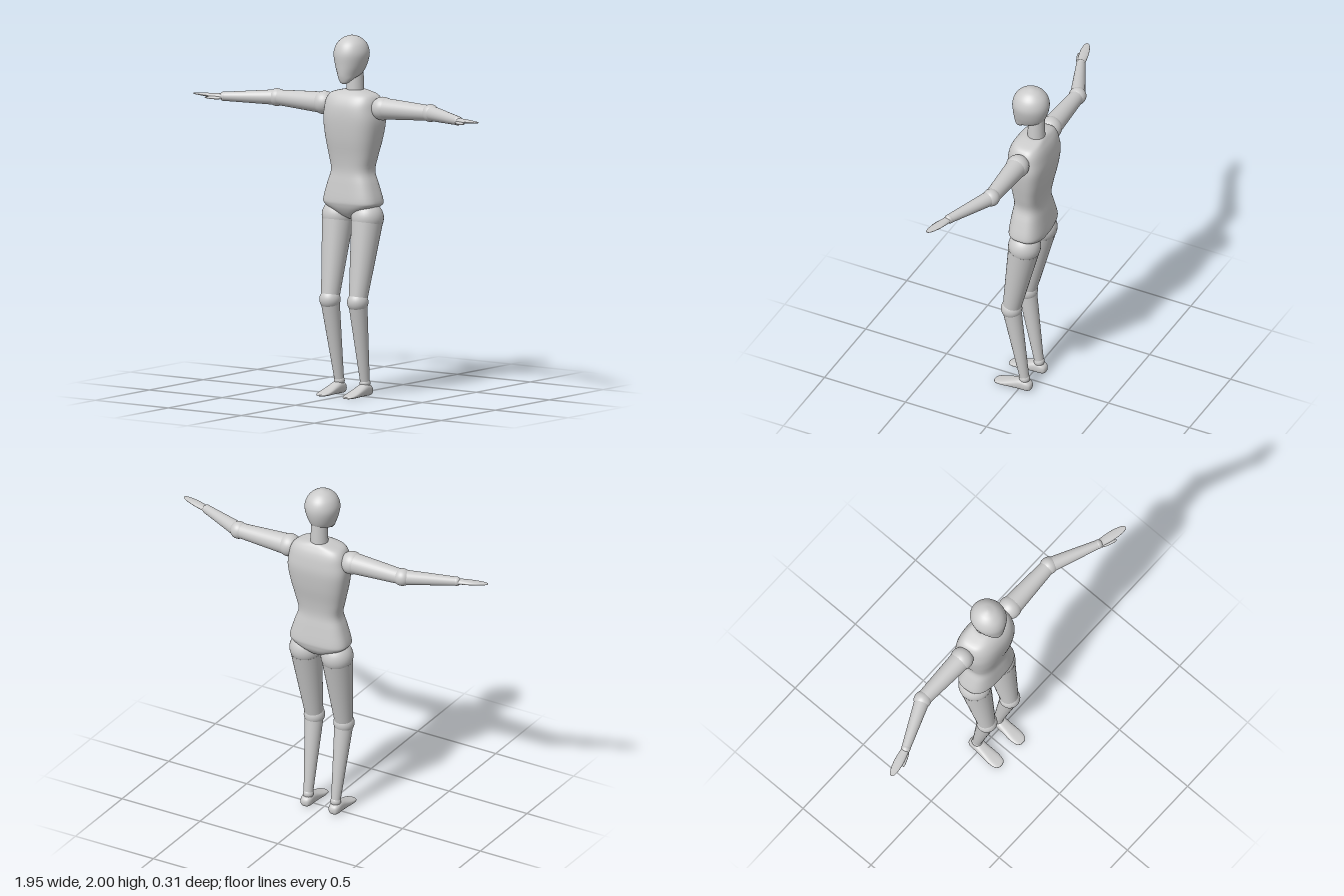
import * as THREE from 'three';

const material = new THREE.MeshStandardMaterial({ color: 0xcccccc });
const V = (x, y, z) => new THREE.Vector3(x, y, z);

function add(parent, geometry, name) {
  const mesh = new THREE.Mesh(geometry, material);
  mesh.name = name;
  parent.add(mesh);
  return mesh;
}

// Smoothly subdivides rows of numbers (Catmull-Rom).
function refine(rows, steps) {
  const out = [];
  const at = i => rows[Math.min(Math.max(i, 0), rows.length - 1)];
  for (let i = 0; i < rows.length - 1; i++) {
    for (let k = 0; k < steps; k++) {
      const t = k / steps;
      out.push(rows[i].map((b, c) => {
        const a = at(i - 1)[c], d = at(i + 1)[c], e = at(i + 2)[c];
        return b + 0.5 * t * (d - a + t * (2 * a - 5 * b + 4 * d - e + t * (3 * (b - d) + e - a)));
      }));
    }
  }
  out.push(rows[rows.length - 1]);
  return out;
}

// Closed skin over sections [t, uMin, uMax, vMin, vMax, narrowing toward +u].
// Each section is a superellipse; frame is a matrix whose axes are u, v, t.
function loft(rows, frame, power = 2, sides = 40) {
  const sections = refine(rows, 4);
  const pos = [], index = [];
  const put = (u, v, t) => pos.push(...V(u, v, t).applyMatrix4(frame).toArray());
  const bend = x => Math.sign(x) * Math.abs(x) ** (2 / power);
  for (const [t, u0, u1, v0, v1, k = 0] of sections) {
    for (let j = 0; j < sides; j++) {
      const a = (j / sides) * Math.PI * 2;
      const cu = bend(Math.cos(a)), cv = bend(Math.sin(a)) * (1 - k * cu);
      put((u0 + u1) / 2 + cu * (u1 - u0) / 2, (v0 + v1) / 2 + cv * (v1 - v0) / 2, t);
    }
  }
  const last = (sections.length - 1) * sides;
  for (const [t, u0, u1, v0, v1] of [sections[0], sections[sections.length - 1]]) {
    put((u0 + u1) / 2, (v0 + v1) / 2, t);
  }
  for (let j = 0; j < sides; j++) {
    const n = (j + 1) % sides;
    for (let i = 0; i < last; i += sides) {
      index.push(i + j, i + n, i + sides + n, i + j, i + sides + n, i + sides + j);
    }
    index.push(last + sides, n, j, last + sides + 1, last + j, last + n);
  }
  const g = new THREE.BufferGeometry();
  g.setAttribute('position', new THREE.Float32BufferAttribute(pos, 3));
  g.setIndex(index);
  g.computeVertexNormals();
  return g;
}

// Tapered limb segment from a to b.
function limb(parent, a, b, ra, rb, name) {
  const mesh = add(parent, new THREE.CylinderGeometry(rb, ra, a.distanceTo(b), 32), name);
  mesh.position.copy(a).lerp(b, 0.5);
  mesh.quaternion.setFromUnitVectors(V(0, 1, 0), b.clone().sub(a).normalize());
}

function ball(parent, p, r, name) {
  add(parent, new THREE.SphereGeometry(r, 32, 20), name).position.copy(p);
}

// Frame whose t axis runs along dir, with v close to up.
function frameAlong(origin, dir) {
  const t = dir.clone().normalize();
  const u = V(0, 1, 0).cross(t).normalize();
  return new THREE.Matrix4().makeBasis(u, t.clone().cross(u), t).setPosition(origin);
}

function makeArm(s) {
  const arm = new THREE.Group();
  arm.name = s > 0 ? 'leftArm' : 'rightArm';
  const shoulder = V(s * 0.2, 1.605, -0.04), elbow = V(s * 0.525, 1.607, -0.042);
  const wrist = V(s * 0.8, 1.602, 0.078);
  ball(arm, shoulder, 0.065, 'shoulderJoint');
  limb(arm, shoulder, elbow, 0.06, 0.042, 'upperArm');
  ball(arm, elbow, 0.049, 'elbowJoint');
  limb(arm, elbow, wrist, 0.043, 0.025, 'forearm');
  ball(arm, wrist, 0.026, 'wristJoint');
  // flat mitten hand, rounded at the tip
  const hand = [[0, 0.022, 0.018], [0.03, 0.024, 0.014], [0.08, 0.027, 0.011],
    [0.13, 0.024, 0.007], [0.165, 0.016, 0.004], [0.178, 0.008, 0.003], [0.181, 0.001, 0.001]]
    .map(([t, w, h]) => [t, -w, w, -h, h]);
  add(arm, loft(hand, frameAlong(wrist, V(s * 0.17, 0.008, 0.047)), 2, 24), 'hand');
  const thumb = [[0, 0.007], [0.03, 0.011], [0.07, 0.009], [0.09, 0.005], [0.096, 0.001]]
    .map(([t, r]) => [t, -r, r, -r * 0.8, r * 0.8]);
  add(arm, loft(thumb, frameAlong(V(s * 0.802, 1.594, 0.096), V(s * 0.09, 0.002, 0.043)), 2, 16), 'thumb');
  return arm;
}

function makeLeg(s) {
  const leg = new THREE.Group();
  leg.name = s > 0 ? 'leftLeg' : 'rightLeg';
  const hip = V(s * 0.1, 0.99, -0.033), knee = V(s * 0.095, 0.53, 0.05);
  const ankle = V(s * 0.088, 0.07, -0.027);
  ball(leg, hip, 0.091, 'hipJoint');
  limb(leg, hip.clone().lerp(knee, 0.06), knee, 0.087, 0.05, 'thigh');
  ball(leg, knee, 0.059, 'kneeJoint');
  limb(leg, knee, ankle, 0.053, 0.026, 'shin');
  ball(leg, ankle, 0.03, 'ankleJoint');
  // foot: [z, half width, bottom, top]
  const foot = [[-0.073, 0.008, 0.02, 0.035], [-0.066, 0.024, 0.006, 0.05], [-0.045, 0.033, 0, 0.063],
    [-0.01, 0.035, 0, 0.068], [0.04, 0.037, 0, 0.05], [0.095, 0.04, 0, 0.03],
    [0.135, 0.034, 0, 0.018], [0.15, 0.02, 0.001, 0.013], [0.154, 0.006, 0.003, 0.01]]
    .map(([t, w, y0, y1]) => [t, -w, w, y0, y1]);
  add(leg, loft(foot, new THREE.Matrix4().makeTranslation(s * 0.09, 0, 0), 2.6, 32), 'foot');
  return leg;
}

export function createModel() {
  const model = new THREE.Group();
  model.name = 'jointedFigure';
  const upright = new THREE.Matrix4().makeBasis(V(0, 0, 1), V(1, 0, 0), V(0, 1, 0));
  // rows of [y, z back, z front, half width, narrowing toward the front]
  const body = rows => rows.map(([y, z0, z1, w, k]) => [y, z0, z1, -w, w, k]);

  add(model, loft(body([
    [0.982, -0.06, 0.0, 0.012, 0], [1.0, -0.095, 0.03, 0.05, 0], [1.03, -0.122, 0.053, 0.115, 0.02],
    [1.06, -0.133, 0.066, 0.168, 0.03], [1.09, -0.135, 0.069, 0.175, 0.04], [1.18, -0.122, 0.059, 0.148, 0.04],
    [1.25, -0.112, 0.051, 0.126, 0.06], [1.33, -0.12, 0.058, 0.142, 0.08], [1.43, -0.14, 0.074, 0.164, 0.1],
    [1.53, -0.152, 0.082, 0.178, 0.11], [1.6, -0.146, 0.078, 0.17, 0.11], [1.645, -0.135, 0.063, 0.16, 0.1],
    [1.675, -0.12, 0.04, 0.135, 0.06], [1.692, -0.108, 0.01, 0.075, 0], [1.696, -0.1, -0.01, 0.045, 0],
  ]), upright, 2.9, 56), 'torso');

  const neck = add(model, new THREE.CylinderGeometry(0.045, 0.05, 0.18, 32), 'neck');
  neck.position.set(0, 1.755, -0.055);

  // egg-shaped head drawn forward to the chin
  add(model, loft(body([
    [1.736, 0.038, 0.058, 0.012, 0], [1.745, 0.02, 0.065, 0.028, 0], [1.765, -0.02, 0.072, 0.045, 0],
    [1.79, -0.088, 0.077, 0.062, 0], [1.84, -0.116, 0.081, 0.084, 0], [1.9, -0.127, 0.083, 0.097, 0],
    [1.95, -0.113, 0.066, 0.083, 0], [1.982, -0.081, 0.033, 0.053, 0], [1.996, -0.048, -0.002, 0.022, 0],
    [2.0, -0.028, -0.022, 0.003, 0],
  ]), upright, 2, 48), 'head');

  for (const s of [1, -1]) model.add(makeArm(s), makeLeg(s));
  return model;
}
